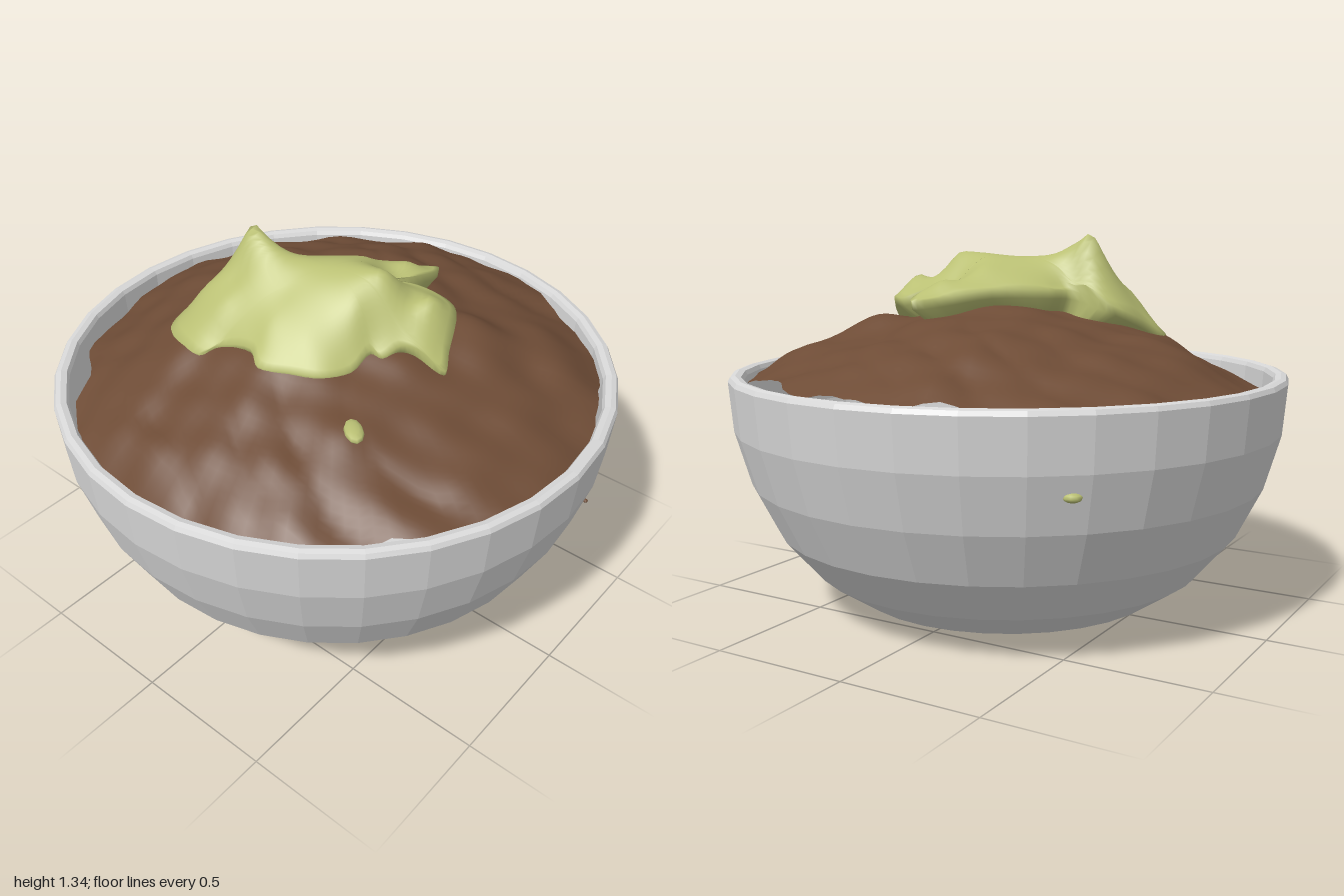
import * as THREE from 'three';
import { mergeVertices } from 'three/addons/utils/BufferGeometryUtils.js';

const { sin, cos, abs, hypot, exp, max, PI } = Math;

// Broad swells on the filling: x, z, width, height
const swells = [
  [0.42, -0.26, 0.12, 0.05], [0.62, -0.45, 0.13, 0.04], [-0.6, 0.05, 0.12, 0.025],
  [-0.78, 0, 0.12, 0.015], [0.3, 0.1, 0.12, 0.02], [-0.36, 0.32, 0.18, 0.045],
  [-0.02, 0.34, 0.18, 0.035], [0.4, 0.38, 0.12, 0.015],
];

// Height of the filling at a point, with soft lumps and a few sharper creases
function moundHeight(x, z) {
  const r = hypot(x, z);
  let y = 1.12 - 0.2 * r - 0.16 * r * r - 0.05 * z - 2 * max(0, z - 0.7) ** 2;
  for (const [sx, sz, w, h] of swells) y += h * exp(-((x - sx) ** 2 + (z - sz) ** 2) / (w * w));
  y += 0.010 * sin(7 * x + 3 * z + 1) * cos(6 * z - 2 * x)
    + 0.008 * sin(13 * x - 9 * z) * sin(11 * z + 4 * x + 2)
    + 0.006 * sin(23 * x + 17 * z + 1.3) * cos(19 * z - 12 * x);
  const crease = 0.014 * abs(sin(4 * x - 5 * z + 2 * sin(5 * z + x) + 2 * sin(4 * x - z))) - 0.009;
  return y + crease * Math.min(1, r * r * 3);
}

// Surface made of closed rings; each ring is an array of Vector3 of equal length
function ringSurface(rings) {
  const n = rings[0].length, pos = [], idx = [];
  rings.forEach(ring => ring.forEach(p => pos.push(p.x, p.y, p.z)));
  for (let i = 0; i < rings.length - 1; i++) {
    for (let j = 0; j < n; j++) {
      const k = (j + 1) % n, a = i * n + j, b = i * n + k;
      idx.push(a, b, a + n, b, b + n, a + n);
    }
  }
  const g = new THREE.BufferGeometry();
  g.setAttribute('position', new THREE.Float32BufferAttribute(pos, 3));
  g.setIndex(idx);
  const merged = mergeVertices(g, 1e-5);
  merged.computeVertexNormals();
  return merged;
}

// Smooth height function through scattered points (radial basis, Gaussian elimination)
function heightThrough(points) {
  const n = points.length, kernel = (dx, dz) => Math.sqrt(dx * dx + dz * dz + 0.0006);
  const m = points.map(p => [...points.map(q => kernel(p.x - q.x, p.z - q.z)), p.y - 1.1]);
  for (let c = 0; c < n; c++) {
    let best = c;
    for (let r = c + 1; r < n; r++) if (abs(m[r][c]) > abs(m[best][c])) best = r;
    [m[c], m[best]] = [m[best], m[c]];
    for (let r = 0; r < n; r++) {
      if (r === c) continue;
      const f = m[r][c] / m[c][c];
      for (let k = c; k <= n; k++) m[r][k] -= f * m[c][k];
    }
  }
  const weights = m.map((row, i) => row[n] / row[i]);
  return (x, z) => points.reduce((y, p, i) => y + weights[i] * kernel(x - p.x, z - p.z), 1.1);
}

function bowlGeometry() {
  const profile = [
    [0, 0], [0.38, 0], [0.56, 0.04], [0.71, 0.14], [0.84, 0.29], [0.93, 0.47], [0.985, 0.66],
    [1, 0.835], [0.992, 0.85], [0.975, 0.855], [0.955, 0.85], [0.947, 0.835],
    [0.935, 0.66], [0.88, 0.48], [0.79, 0.31], [0.67, 0.18], [0.53, 0.09], [0.37, 0.05], [0, 0.05],
  ].map(([r, y]) => new THREE.Vector2(r, y));
  return new THREE.LatheGeometry(profile, 32);
}

function moundGeometry() {
  const rings = [], rows = 36, cols = 120;
  // Ragged edge with notches: [angle, width, depth]
  const notches = [[2.43, 0.1, 0.05], [0.7, 0.13, 0.05], [-1.5, 0.14, 0.04], [-1.9, 0.15, 0.03], [-1.03, 0.17, 0.06]];
  for (let i = 0; i <= rows; i++) {
    const t = i / rows, ring = [];
    for (let j = 0; j < cols; j++) {
      let a = (j / cols) * 2 * PI;
      if (a > PI) a -= 2 * PI;
      let edge = 0.935 + 0.005 * sin(17 * a) + 0.004 * sin(41 * a + 1);
      for (const [c, w, d] of notches) edge -= d * exp(-(((a - c) / w) ** 2));
      const x = cos(a) * edge * t, z = sin(a) * edge * t;
      ring.push(new THREE.Vector3(x, moundHeight(x, z), z));
    }
    rings.push(ring);
  }
  return ringSurface(rings);
}

function toppingGeometry() {
  // Outline as x, z and lift above the filling
  const outline = [
    [-0.49, 0.28, 0], [-0.46, 0.2, 0.03], [-0.43, 0.08, 0.06], [-0.38, 0.03, 0.07], [-0.25, 0.02, 0.08],
    [-0.2, -0.06, 0.07], [-0.05, -0.2, 0.06], [0.08, -0.32, 0.06], [0.15, -0.39, 0.07], [0.18, -0.34, 0.08],
    [0.17, -0.22, 0.08], [0.135, -0.15, 0.07], [0.2, -0.19, 0.08], [0.3, -0.23, 0.06], [0.38, -0.18, 0.06],
    [0.44, -0.06, 0.03], [0.47, 0, 0.01], [0.38, 0.03, 0.03], [0.33, 0.06, 0.02], [0.3, 0.12, 0],
    [0.26, 0.13, 0.01], [0.25, 0.22, 0], [0.2, 0.31, 0], [0.1, 0.36, 0], [0, 0.4, 0], [-0.07, 0.36, 0.01],
    [-0.2, 0.38, 0], [-0.25, 0.43, 0], [-0.38, 0.41, 0], [-0.46, 0.36, 0],
  ].map(([x, z, lift]) => new THREE.Vector3(x, moundHeight(x, z) + lift + 0.008, z));
  // Inner crests and slopes as x, y, z
  const crests = [
    [-0.28, 1.335, 0.1], [-0.2, 1.29, 0.09], [-0.35, 1.2, 0.14], [-0.38, 1.12, 0.26], [-0.26, 1.2, 0.21],
    [-0.24, 1.11, 0.32], [-0.08, 1.26, 0.07], [-0.06, 1.2, 0.19], [-0.04, 1.12, 0.3], [0, 1.26, 0.02],
    [0.1, 1.19, 0.16], [0.1, 1.11, 0.27], [0.1, 1.27, 0], [0.2, 1.27, -0.02], [0.19, 1.18, 0.12],
    [0.03, 1.22, -0.13], [0.12, 1.18, -0.25], [0.28, 1.18, -0.07], [0.34, 1.19, -0.09],
  ].map(p => new THREE.Vector3(...p));
  const drape = heightThrough([...outline, ...crests]);
  const topHeight = (x, z) => max(drape(x, z), moundHeight(x, z) + 0.01);
  const edge = new THREE.CatmullRomCurve3(outline, true).getPoints(120).slice(0, -1);
  const cx = 0.02, cz = 0.05, rows = 18, rings = [];
  const ringAt = (t, height) => edge.map(p => {
    const x = cx + (p.x - cx) * t, z = cz + (p.z - cz) * t;
    return new THREE.Vector3(x, height(x, z, p), z);
  });
  for (let i = 0; i < rows; i++) rings.push(ringAt(i / rows, topHeight));
  // Thin lip, then the underside tucked into the filling
  rings.push(ringAt(1, (x, z, p) => p.y));
  rings.push(ringAt(0.99, (x, z, p) => p.y - 0.03));
  for (const t of [0.8, 0.4, 0]) rings.push(ringAt(t, (x, z) => moundHeight(x, z) - 0.03));
  return ringSurface(rings);
}

export function createModel() {
  const bowlGrey = new THREE.MeshStandardMaterial({ color: 0xd8d8d8, flatShading: true });
  bowlGrey.name = 'bowl grey';
  const fillingBrown = new THREE.MeshStandardMaterial({ color: 0x6e4c36, side: THREE.DoubleSide });
  fillingBrown.name = 'filling brown';
  const toppingGreen = new THREE.MeshStandardMaterial({ color: 0xbac074, side: THREE.DoubleSide });
  toppingGreen.name = 'topping green';

  const model = new THREE.Group();
  model.name = 'filledBowl';
  const add = (name, geometry, material) => {
    const mesh = new THREE.Mesh(geometry, material);
    mesh.name = name;
    model.add(mesh);
    return mesh;
  };
  add('bowl', bowlGeometry(), bowlGrey);
  add('filling', moundGeometry(), fillingBrown);
  add('topping', toppingGeometry(), toppingGreen);

  const addBit = (name, material, [x, y, z, sx, sy, sz, turn]) => {
    const bit = add(name, new THREE.SphereGeometry(1, 10, 6), material);
    bit.position.set(x, y, z);
    bit.scale.set(sx, sy, sz);
    bit.rotation.y = turn;
  };
  // Stray bits of topping: x, y, z, half sizes, turn
  [
    [0.405, moundHeight(0.405, 0.395) + 0.006, 0.395, 0.062, 0.017, 0.032, -0.7],
    [0.07, 0.73, -0.9, 0.12, 0.02, 0.025, 0],
    [0.44, 0.73, -0.8, 0.11, 0.02, 0.035, -0.5],
    [-0.635, 0.59, -0.71, 0.032, 0.016, 0.032, 0],
  ].forEach(b => addBit('toppingBit', toppingGreen, b));
  // Specks of filling showing through the bowl wall: z, y, size
  for (const [z, y, s] of [[-0.19, 0.585, 0.008], [-0.49, 0.605, 0.009], [-0.58, 0.61, 0.013]]) {
    addBit('fillingSpeck', fillingBrown, [Math.sqrt(0.968 ** 2 - z * z), y, z, s, s * 0.8, s, 0]);
  }
  return model;
}
